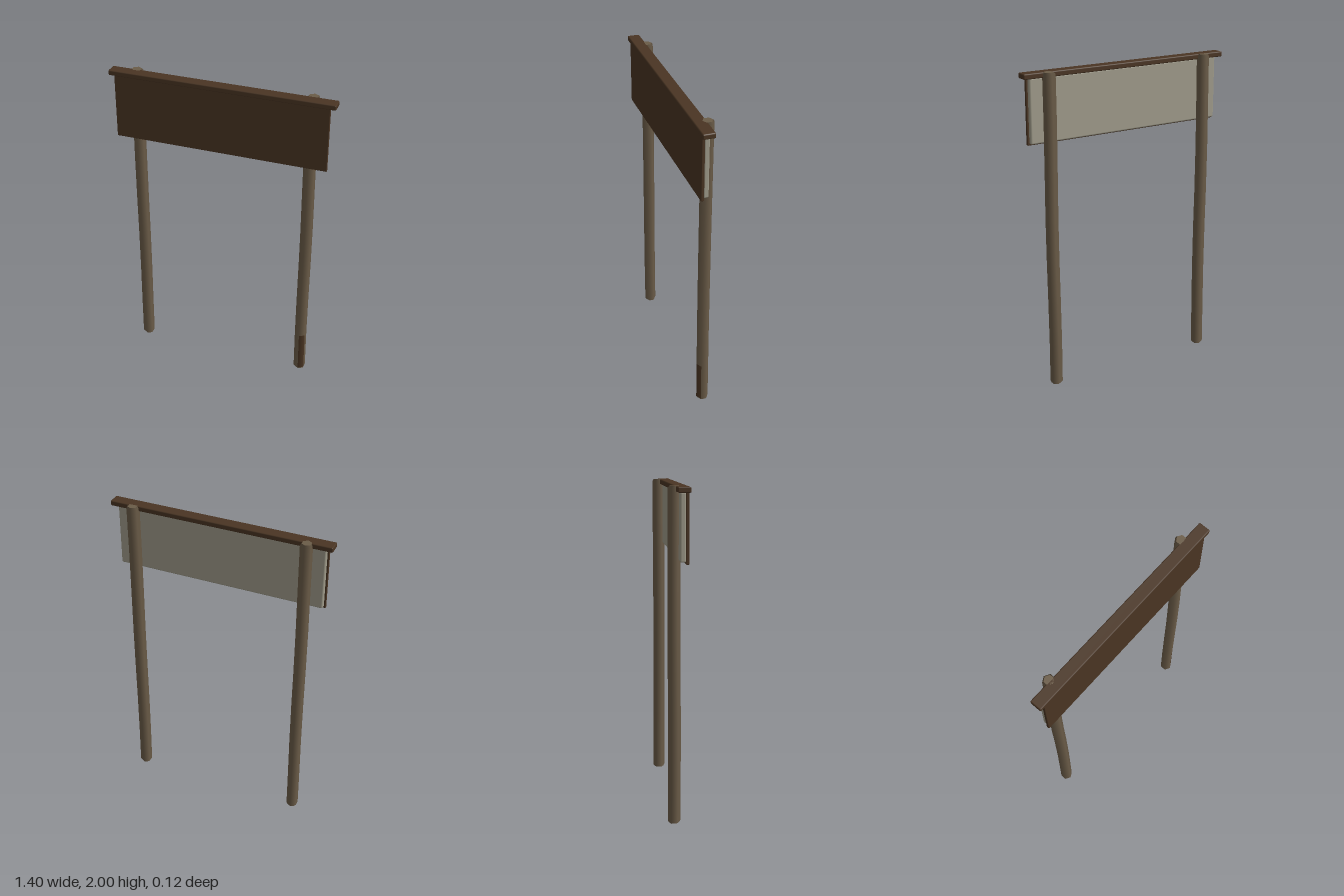
import * as THREE from 'three';
import { RoundedBoxGeometry } from 'three/addons/geometries/RoundedBoxGeometry.js';

function material(name, color) {
  const m = new THREE.MeshStandardMaterial({ color });
  m.name = name;
  return m;
}

// Bevelled slab given by its lower and upper corners
function slab(name, mat, min, max, bevel) {
  const size = max.map((v, i) => v - min[i]);
  const mesh = new THREE.Mesh(new RoundedBoxGeometry(...size, 1, bevel), mat);
  mesh.position.set(...max.map((v, i) => (v + min[i]) / 2));
  mesh.name = name;
  return mesh;
}

// Six-sided rough pole; each ring is nudged a little, the ends are chamfered
const LEVELS = [2, 1.988, 1.7, 1.4, 1.1, 0.85, 0.55, 0.28, 0.012, 0];
function post(name, x, z, radius, phase, mats, patched) {
  const rows = LEVELS.length - 1;
  const geo = new THREE.CylinderGeometry(1, 1, 1, 6, rows);
  const pos = geo.attributes.position;
  for (let i = 0; i < pos.count; i++) {
    const row = Math.round((0.5 - pos.getY(i)) * rows);
    const end = row === 0 || row === rows;
    const r = radius * (end ? 0.8 : 1);
    const sway = 0.002 * Math.sin(row * 1.3 + phase);
    pos.setXYZ(i, x + pos.getX(i) * r + sway, LEVELS[row],
      z + pos.getZ(i) * r + 0.002 * Math.cos(row * 0.9 + phase));
  }
  // Stained facet at the foot: front facet, second lowest row
  geo.clearGroups();
  const start = (rows - 2) * 6;
  geo.addGroup(0, start, 0);
  geo.addGroup(start, 6, patched ? 1 : 0);
  geo.addGroup(start + 6, geo.index.count - start - 6, 0);
  const mesh = new THREE.Mesh(geo, mats);
  mesh.name = name;
  return mesh;
}

export function createModel() {
  const darkWood = material('darkWood', 0x4a3523);
  const postWood = material('postWood', 0x6b5c48);
  const paleBoard = material('paleBoard', 0xa09c8b);

  const group = new THREE.Group();
  group.name = 'signboard';
  group.add(
    // Posts
    post('rightPost', -0.55, -0.021, 0.038, 0.5, [postWood, darkWood], false),
    post('leftPost', 0.547, -0.021, 0.039, 2.2, [postWood, darkWood], true),
    // Sign face, backing panel and top rail
    slab('frontBoard', darkWood, [-0.668, 1.565, 0.034], [0.668, 1.972, 0.053], 0.004),
    slab('backPanel', paleBoard, [-0.66, 1.576, 0.002], [0.66, 1.97, 0.036], 0.01),
    slab('topRail', darkWood, [-0.702, 1.967, -0.015], [0.702, 2, 0.06], 0.007),
  );
  return group;
}
